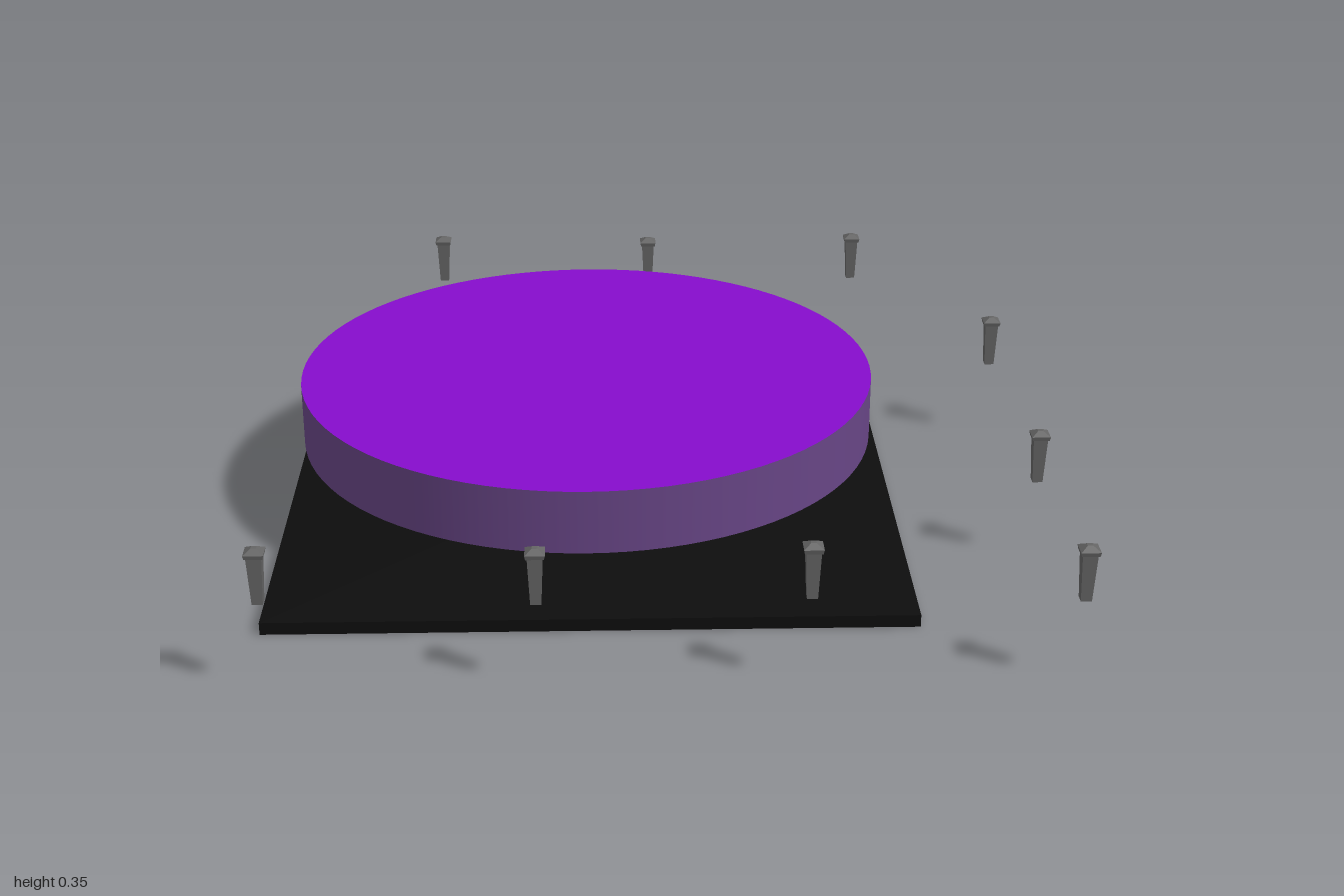
import * as THREE from 'three';

export function createModel() {
  const model = new THREE.Group();
  const black = new THREE.MeshStandardMaterial({ name: 'black', color: 0x0d0d0d });
  const violet = new THREE.MeshStandardMaterial({ name: 'violet', color: 0x860dcc });
  const mutedPurple = new THREE.MeshStandardMaterial({ name: 'muted purple', color: 0x674585 });
  const grey = new THREE.MeshStandardMaterial({ name: 'grey', color: 0x646464, flatShading: true });

  const add = (parent, name, geometry, material, x, y, z) => {
    const mesh = new THREE.Mesh(geometry, material);
    mesh.name = name;
    mesh.position.set(x, y, z);
    parent.add(mesh);
    return mesh;
  };

  // Square base plate
  add(model, 'basePlate', new THREE.BoxGeometry(1.51, 0.03, 1.505), black, -0.17, 0.015, -0.018);

  // Floating disc: side, top and underside
  add(model, 'disc', new THREE.CylinderGeometry(0.715, 0.715, 0.155, 96),
    [mutedPurple, violet, mutedPurple], -0.178, 0.2575, -0.017);

  // Square tapered frustum with sides facing the axes
  const frustum = (top, bottom, height) =>
    new THREE.CylinderGeometry(top * Math.SQRT1_2, bottom * Math.SQRT1_2, height, 4).rotateY(Math.PI / 4);
  const shaft = frustum(0.034, 0.024, 0.112);
  const collar = frustum(0.044, 0.04, 0.01);
  const cap = frustum(0.012, 0.044, 0.01);

  // Small posts around the disc: x, bottom y, z
  const posts = [
    [-0.88, 0.217, 0.977], [-0.286, 0.209, 0.977], [0.308, 0.215, 0.977], [0.9, 0.201, 0.977],
    [0.9, 0.201, 0.385], [0.9, 0.201, -0.346],
    [0.59, 0.215, -0.978], [-0.004, 0.209, -0.978], [-0.598, 0.217, -0.978],
  ];
  for (const [x, y, z] of posts) {
    const post = new THREE.Group();
    post.name = 'post';
    post.position.set(x, y, z);
    add(post, 'postShaft', shaft, grey, 0, 0.056, 0);
    add(post, 'postCollar', collar, grey, 0, 0.117, 0);
    add(post, 'postCap', cap, grey, 0, 0.127, 0);
    model.add(post);
  }
  return model;
}
